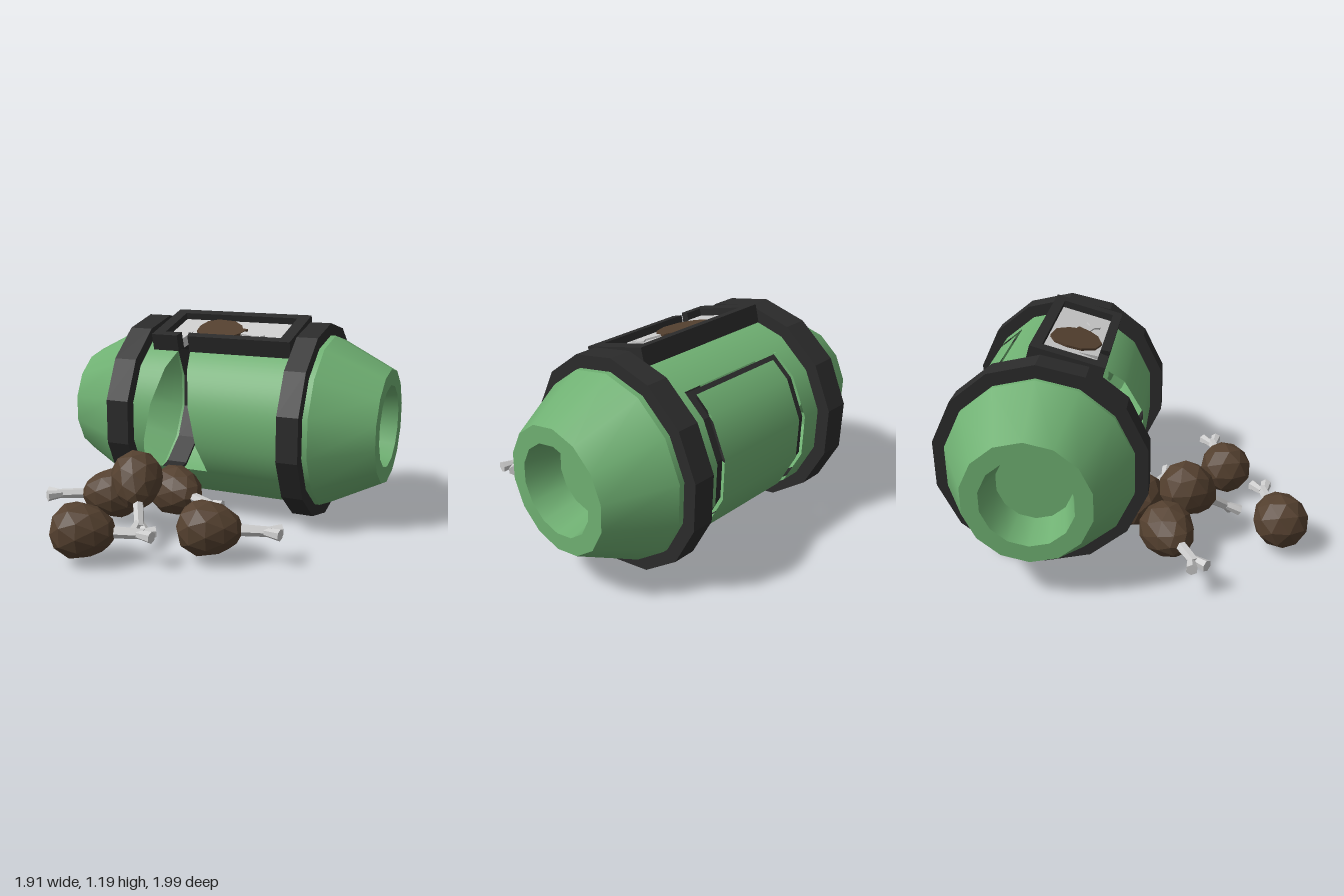
import * as THREE from 'three';

const SIDES = 14, STEP = (2 * Math.PI) / SIDES;
const CY = 0.58, CZ = -0.425; // barrel axis, running along x
const R = 0.507;
const rad = THREE.MathUtils.degToRad;

const mat = (color, flatShading = false) =>
  new THREE.MeshStandardMaterial({ color, flatShading, side: THREE.DoubleSide });
const green = mat(0x6fb072), black = mat(0x2b2b2b, true);
const brown = mat(0x54402f, true), grey = mat(0xcccccc, true);

function add(parent, name, geometry, material) {
  const mesh = new THREE.Mesh(geometry, material);
  mesh.name = name;
  parent.add(mesh);
  return mesh;
}

// Factor that pulls a circle onto the many-sided barrel section
function polygon(a) {
  const k = ((a % STEP) + STEP) % STEP;
  return Math.cos(STEP / 2) / Math.cos(k - STEP / 2);
}

// Patch swept about the barrel axis from (x0, r0) to (x1, r1).
// Angles in degrees go from the top towards the front; x may depend on the angle.
function sweep(x0, r0, x1, r1, from = 0, to = 360, samples = 1) {
  const at = (x, a) => (typeof x === 'function' ? x(a) : x);
  const angles = [];
  for (let i = 0; i <= samples; i++) angles.push(rad(from + ((to - from) * i) / samples));
  for (let k = -SIDES; k <= SIDES; k++) {
    const a = k * STEP;
    if (a > rad(from) + 1e-4 && a < rad(to) - 1e-4) angles.push(a);
  }
  angles.sort((p, q) => p - q);
  const pos = [], nor = [], idx = [];
  angles.forEach((a, i) => {
    const xa = at(x0, a), xb = at(x1, a);
    const len = Math.hypot(xb - xa, r1 - r0) || 1;
    const nx = (r0 - r1) / len, nr = r0 === r1 ? 1 : (xb - xa) / len;
    for (const [x, r] of [[xa, r0], [xb, r1]]) {
      const rr = r * polygon(a);
      pos.push(x, CY + rr * Math.cos(a), CZ + rr * Math.sin(a));
      nor.push(nx, nr * Math.cos(a), nr * Math.sin(a));
    }
    if (i) {
      const p = 2 * (i - 1);
      idx.push(p, p + 2, p + 1, p + 2, p + 3, p + 1);
    }
  });
  const g = new THREE.BufferGeometry();
  g.setAttribute('position', new THREE.Float32BufferAttribute(pos, 3));
  g.setAttribute('normal', new THREE.Float32BufferAttribute(nor, 3));
  g.setIndex(idx);
  return g;
}

function createBarrel() {
  const g = new THREE.Group();
  g.name = 'barrel';
  const L = 0.62, E = 0.955;

  // Middle shell, leaving out the torn gash in front and the hatch at the back
  const gashTop = 19, gashEnd = 124, hatchTop = -33, hatchEnd = -147;
  const half = a => 0.207 * Math.pow(Math.max(0, (a - rad(gashTop)) / rad(gashEnd - gashTop)), 0.9);
  add(g, 'shellTop', sweep(-L, R, L, R, hatchTop, gashTop), green);
  add(g, 'shellBottom', sweep(-L, R, L, R, gashEnd, 360 + hatchEnd), green);
  add(g, 'shellLeftOfGash', sweep(a => -0.22 + half(a), R, L, R, gashTop, gashEnd, 24), green);
  add(g, 'shellRightOfGash', sweep(-L, R, a => -0.22 - half(a), R, gashTop, gashEnd, 24), green);
  add(g, 'shellRightOfHatch', sweep(-L, R, -0.34, R, hatchEnd, hatchTop), green);
  add(g, 'shellLeftOfHatch', sweep(0.36, R, L, R, hatchEnd, hatchTop), green);

  // Back hatch: panel in a sunken dark frame
  const d = 0.486;
  add(g, 'hatchPanel', sweep(-0.29, R, 0.305, R, hatchEnd + 4, hatchTop - 4), green);
  add(g, 'hatchFrameRight', sweep(-0.345, d, -0.285, d, hatchEnd, hatchTop), black);
  add(g, 'hatchFrameLeft', sweep(0.3, d, 0.365, d, hatchEnd, hatchTop), black);
  add(g, 'hatchFrameTop', sweep(-0.34, d, 0.36, d, hatchTop - 5, hatchTop), black);
  add(g, 'hatchFrameBottom', sweep(-0.34, d, 0.36, d, hatchEnd, hatchEnd + 5), black);

  // Tapered ends with a rim and a shallow cup
  const profile = [[L, R], [E, 0.335], [E, 0.242], [0.76, 0.2], [0.76, 0]];
  const names = ['endCone', 'endRim', 'endCupWall', 'endCupFloor'];
  for (const s of [1, -1]) {
    names.forEach((name, i) => {
      let [p, q] = [profile[i], profile[i + 1]];
      if (s < 0) [p, q] = [q, p];
      add(g, name, sweep(s * p[0], p[1], s * q[0], q[1]), green);
    });
  }

  // Dark hoops
  for (const [a, b] of [[-0.595, -0.455], [0.465, 0.59]]) {
    const hoop = new THREE.Group();
    hoop.name = 'hoop';
    const o = 0.578, i = 0.49;
    add(hoop, 'hoopOuter', sweep(a, o, b, o), black);
    add(hoop, 'hoopSide', sweep(b, o, b, i), black);
    add(hoop, 'hoopSide', sweep(a, i, a, o), black);
    add(hoop, 'hoopInner', sweep(b, i, a, i), black);
    g.add(hoop);
  }
  return g;
}

function slab(points, depth) {
  const shape = new THREE.Shape(points.map(p => new THREE.Vector2(...p)));
  return new THREE.ExtrudeGeometry(shape, { depth, bevelEnabled: false });
}

// Tilted sign on top, torn at its front edge; local z is the sign's normal
function createSign() {
  const g = new THREE.Group();
  g.name = 'sign';
  g.position.set(0, 1.039, -0.322);
  g.rotation.x = rad(-74);
  add(g, 'signFrame', slab([
    [-0.25, -0.202], [-0.415, -0.202], [-0.415, 0.202], [0.45, 0.202], [0.45, -0.202],
    [-0.18, -0.202], [-0.195, -0.15], [0.38, -0.15], [0.38, 0.145], [-0.345, 0.145],
    [-0.345, -0.15], [-0.24, -0.15]], 0.1), black);
  add(g, 'signPanel', slab([
    [-0.35, -0.155], [-0.242, -0.155], [-0.22, -0.035], [-0.195, -0.155],
    [0.385, -0.155], [0.385, 0.15], [-0.35, 0.15]], 0.06), grey);
  const meat = add(g, 'signMeat', slab([
    [-0.2, 0.03], [-0.18, 0.1], [-0.12, 0.135], [-0.01, 0.12], [0.06, 0.06], [0.08, 0.02],
    [0.115, 0.01], [0.09, -0.06], [0.05, -0.11], [-0.04, -0.145], [-0.13, -0.12], [-0.19, -0.05]],
    0.015), brown);
  const bone = add(g, 'signBone', slab([
    [0.08, -0.01], [0.19, -0.045], [0.23, -0.02], [0.25, -0.06], [0.225, -0.075],
    [0.24, -0.105], [0.19, -0.105], [0.17, -0.075], [0.08, -0.05]], 0.012), grey);
  meat.position.z = bone.position.z = 0.058;
  return g;
}

// Rod of few sides between two points
function rod(a, b, r0, r1) {
  const p = new THREE.Vector3(...a), q = new THREE.Vector3(...b);
  const dir = q.clone().sub(p), mid = p.clone().add(q).multiplyScalar(0.5);
  const geo = new THREE.CylinderGeometry(r1, r0, dir.length(), 6);
  geo.applyQuaternion(new THREE.Quaternion().setFromUnitVectors(new THREE.Vector3(0, 1, 0), dir.normalize()));
  return geo.translate(mid.x, mid.y, mid.z);
}

// Drumstick with its bone along local +x
function createDrumstick(centre, tip) {
  const g = new THREE.Group();
  g.name = 'drumstick';
  const meat = new THREE.IcosahedronGeometry(1, 1);
  const p = meat.attributes.position;
  for (let i = 0; i < p.count; i++) {
    const x = p.getX(i), r = 0.148 * (1 - 0.22 * x);
    p.setXYZ(i, x * 0.18, p.getY(i) * r, p.getZ(i) * r);
  }
  add(g, 'meat', meat, brown);
  add(g, 'boneShaft', rod([0.1, 0, 0], [0.32, 0, 0], 0.033, 0.027), grey);
  for (const s of [1, -1]) {
    add(g, 'boneKnuckle', rod([0.29, 0, s * 0.008], [0.37, 0, s * 0.043], 0.022, 0.032), grey);
  }
  const c = new THREE.Vector3(...centre);
  const dir = new THREE.Vector3(...tip).sub(c).normalize();
  g.position.copy(c);
  g.quaternion.setFromUnitVectors(new THREE.Vector3(1, 0, 0), dir);
  return g;
}

export function createModel() {
  const model = new THREE.Group();
  model.name = 'brokenFoodBarrel';
  model.add(createBarrel(), createSign());
  const drumsticks = [
    [[-0.51, 0.18, 0.245], [-0.82, 0.18, 0.41]],
    [[-0.17, 0.18, 0.06], [0.15, 0.18, 0.23]],
    [[-0.28, 0.31, 0.35], [-0.13, 0.11, 0.6]],
    [[0.26, 0.18, 0.55], [0.6, 0.18, 0.46]],
    [[-0.32, 0.18, 0.85], [0.02, 0.18, 0.76]],
  ];
  for (const [centre, tip] of drumsticks) model.add(createDrumstick(centre, tip));
  return model;
}
